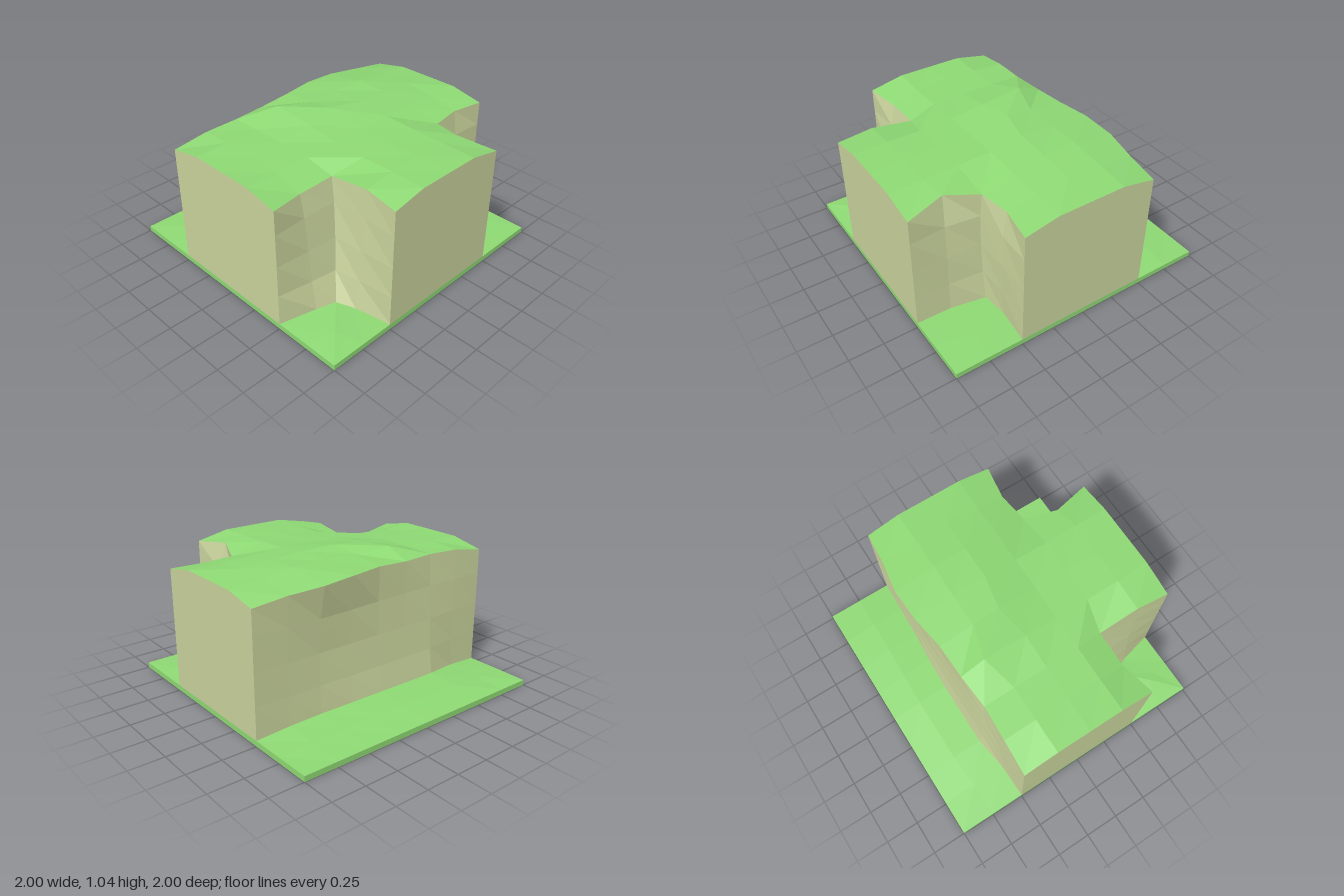
import * as THREE from 'three';

const GROUND = 0.04;
const grass = new THREE.MeshStandardMaterial({ color: 0x8ed974, flatShading: true });
const rock = new THREE.MeshStandardMaterial({ color: 0xc9d39c, flatShading: true });

// Plateau heights on a 0.25 grid: each row is [z, first x, heights...]
const HEIGHTS = [
  [-0.5, -1, 0.92, 0.96, 0.97, 0.97, 0.985, 0.985, 0.97, 0.95, 0.92],
  [-0.25, -1, 0.97, 0.975, 0.975, 1.04, 1.01, 1.01, 1.015, 0.99, 0.97],
  [0, -1, 0.97, 0.97, 0.975, 1.01, 1.035, 1.02, 1.01, 0.995, 0.97],
  [0.25, -1, 0.97, 0.96, 0.97, 0.98, 0.985, 0.99, 0.98, 0.97, 0.97],
  [0.5, -1, 0.92, 0.9, 0.91, 0.97, 0.98, 0.98, 0.92, 0.925, 0.92],
  [0.75, -0.5, 0.955, 0.975, 0.98, 0.975, 0.955],
  [1, -0.5, 0.92, 0.97, 0.97, 0.97, 0.92],
];

// Cliff lines, left to right seen from outside:
// [x, z, rim dx, rim dz, foot dx, foot dz, foot height]
const CLIFFS = {
  back: [
    [1, -0.5, 0, 0, 0, 0, 0.04],
    [0.75, -0.5, 0, -0.02, 0, -0.01, 0.06],
    [0.5, -0.5, 0, -0.06, 0, -0.02, 0.07],
    [0.25, -0.5, 0, -0.05, 0, -0.04, 0.08],
    [0, -0.5, 0, -0.01, 0, -0.05, 0.085],
    [-0.25, -0.5, 0, 0, 0, -0.05, 0.08],
    [-0.5, -0.5, 0, 0.02, 0, -0.05, 0.08],
    [-0.75, -0.5, 0, 0.01, 0, -0.01, 0.06],
    [-1, -0.5, 0, 0, 0, 0, 0.04],
  ],
  frontRight: [
    [-1, 0.5, 0, 0, 0, 0, 0.04],
    [-0.75, 0.5, 0, -0.05, 0, 0.08, 0.06],
    [-0.5, 0.5, 0.02, -0.05, -0.12, 0.13, 0.07],
    [-0.5, 0.75, 0.015, 0, -0.06, 0, 0.055],
    [-0.5, 1, 0, 0, 0, 0, 0.04],
  ],
  frontLeft: [
    [0.5, 1, 0, 0, 0, 0, 0.04],
    [0.5, 0.75, -0.07, -0.03, 0.01, 0, 0.045],
    [0.5, 0.5, 0.02, -0.01, 0.06, 0, 0.05],
    [0.75, 0.5, 0, -0.04, 0, -0.02, 0.05],
    [1, 0.5, 0, 0, 0, 0, 0.04],
  ],
};

// Rows of points joined into a faceted surface
function sheet(name, rows, material) {
  const pos = [];
  for (let i = 0; i < rows.length - 1; i++) {
    for (let j = 0; j < rows[i].length - 1; j++) {
      const a = rows[i][j], b = rows[i][j + 1], c = rows[i + 1][j + 1], d = rows[i + 1][j];
      pos.push(...a, ...d, ...c, ...a, ...c, ...b);
    }
  }
  const geo = new THREE.BufferGeometry();
  geo.setAttribute('position', new THREE.Float32BufferAttribute(pos, 3));
  geo.computeVertexNormals();
  const mesh = new THREE.Mesh(geo, material);
  mesh.name = name;
  return mesh;
}

// Plateau point at a grid position, shifted where it lies on a cliff rim
function rimPoint(x, z) {
  const row = HEIGHTS.find((r) => r[0] === z);
  const y = row[2 + Math.round((x - row[1]) / 0.25)];
  const edge = Object.values(CLIFFS).flat().find((p) => p[0] === x && p[1] === z);
  if (edge) return [x + edge[2], y, z + edge[3]];
  if (x === -0.25 && z === -0.25) return [x, y, -0.32];
  if (x === 0 && z === 0) return [x, y, -0.05];
  return [x, y, z];
}

// Cliff rows from rim to foot, leaning out at both ends
function cliffRows(line) {
  const levels = [[0.74, 0.3, 0], [0.5, 0, 0.2], [0.27, 0, 0.5]];
  return [
    line.map(([x, z]) => rimPoint(x, z)),
    ...levels.map(([y, top, foot]) => line.map(([x, z, rx, rz, fx, fz]) =>
      [x + rx * top + fx * foot, y, z + rz * top + fz * foot])),
    footRow(line),
  ];
}

function footRow(line) {
  return line.map(([x, z, , , fx, fz, y]) => [x + fx, y + 0.001, z + fz]);
}

// Ground rising from the slab's edge to the foot of a cliff
function groundRows(line, outer) {
  const inner = footRow(line);
  const edge = line.map(outer);
  const middle = inner.map((p, i) => [
    (p[0] + edge[i][0]) / 2,
    GROUND + 0.001 + (p[1] - GROUND) * 0.7,
    (p[2] + edge[i][2]) / 2,
  ]);
  return [inner, middle, edge];
}

export function createModel() {
  const model = new THREE.Group();
  model.name = 'cliffTile';

  // Base slab
  const slab = new THREE.Mesh(new THREE.BoxGeometry(2, GROUND, 2), grass);
  slab.position.y = GROUND / 2;
  slab.name = 'baseSlab';
  model.add(slab);

  // Grassy plateau: cross arm and front arm
  const plateau = new THREE.Group();
  plateau.name = 'plateau';
  const topRow = (z, x0, n) => Array.from({ length: n }, (_, i) => rimPoint(x0 + i * 0.25, z));
  plateau.add(
    sheet('crossArmGrass', [-0.5, -0.25, 0, 0.25, 0.5].map((z) => topRow(z, -1, 9)), grass),
    sheet('frontArmGrass', [0.5, 0.75, 1].map((z) => topRow(z, -0.5, 5)), grass),
  );
  model.add(plateau);

  // Weathered cliffs and the ground below them
  const outers = {
    back: ([x]) => [x, GROUND, -1],
    frontRight: () => [-1, GROUND, 1],
    frontLeft: () => [1, GROUND, 1],
  };
  for (const [name, line] of Object.entries(CLIFFS)) {
    model.add(sheet(name + 'Cliff', cliffRows(line), rock));
    model.add(sheet(name + 'Ground', groundRows(line, outers[name]), grass));
  }

  // Flat cut faces at the tile edges
  const steps = [-0.5, -0.25, 0, 0.25, 0.5];
  const cuts = {
    frontCut: steps.map((x) => [x, 1]),
    leftCut: steps.map((z) => [1, -z]),
    rightCut: steps.map((z) => [-1, z]),
  };
  for (const [name, line] of Object.entries(cuts)) {
    const rim = line.map(([x, z]) => rimPoint(x, z === 0 ? 0 : z));
    // keep the cut on its plane
    const foot = line.map(([x, z]) => [x, GROUND, z]);
    model.add(sheet(name, [rim, foot], rock));
  }
  return model;
}
